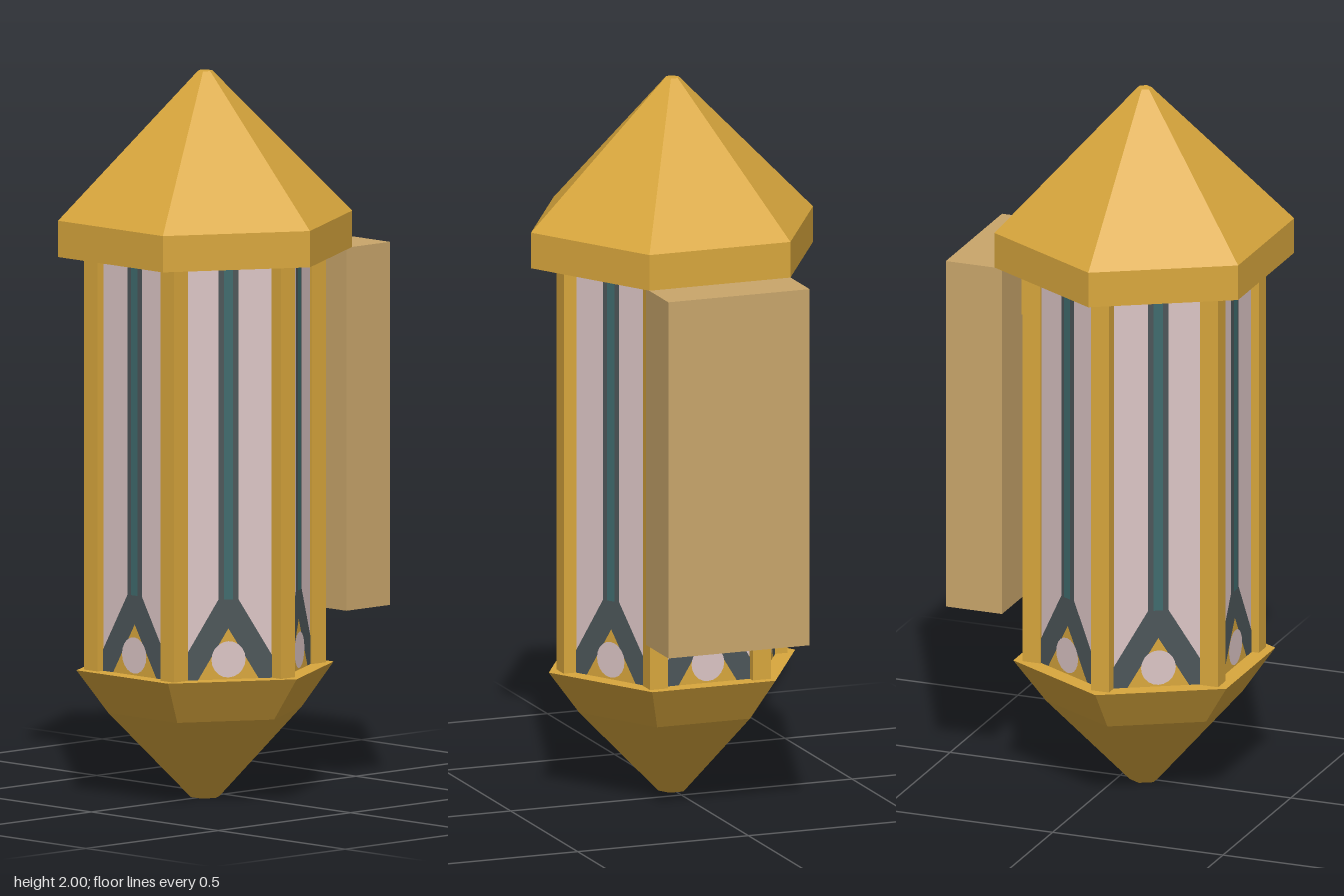
import * as THREE from 'three';

const makeMaterial = (name, color) => {
  const m = new THREE.MeshStandardMaterial({ color });
  m.name = name;
  return m;
};

// Faceted copy of a geometry, one normal per face
const facet = (geometry) => {
  const g = geometry.index ? geometry.toNonIndexed() : geometry;
  g.computeVertexNormals();
  return g;
};

const polygon = (points) => new THREE.Shape(points.map(([x, y]) => new THREE.Vector2(x, y)));

export function createModel() {
  const gold = makeMaterial('gold metal', 0xd9a73d);
  const glass = makeMaterial('pale pink glass', 0xdcc5c5);
  const slate = makeMaterial('slate leading', 0x4c5659);
  const teal = makeMaterial('teal leading', 0x3f6b6d);
  const tan = makeMaterial('tan backing', 0xc9a66b);

  const model = new THREE.Group();
  const lantern = new THREE.Group();
  lantern.name = 'lantern';
  lantern.position.z = 0.07;
  model.add(lantern);

  const add = (parent, name, geometry, material, x = 0, y = 0, z = 0) => {
    const mesh = new THREE.Mesh(geometry, material);
    mesh.name = name;
    mesh.position.set(x, y, z);
    parent.add(mesh);
    return mesh;
  };

  // Six-sided solid from a radius/height profile, corners on the x axis
  const hexSolid = (name, profile) => {
    const points = profile.map(([r, y]) => new THREE.Vector2(r, y));
    const g = new THREE.LatheGeometry(points, 6).rotateY(Math.PI / 6);
    return add(lantern, name, facet(g), gold);
  };
  hexSolid('roof', [[0, 1.5], [0.413, 1.5], [0.413, 1.6], [0.02, 2], [0, 2]]);
  hexSolid('base', [[0, 0], [0.04, 0], [0.272, 0.24], [0.361, 0.36], [0, 0.36]]);

  // Window parts shared by all six sides
  const paneGeometry = new THREE.BoxGeometry(0.29, 1.14, 0.016);
  const half = [[0.028, 1.5], [0.028, 0.58], [0.124, 0.42], [0.124, 0.36], [0.085, 0.36]];
  const mirrored = half.map(([x, y]) => [-x, y]);
  const leadingGeometry = new THREE.ShapeGeometry(
    polygon([...mirrored, [0, 0.5], ...half.slice().reverse()]));
  const stripeGeometry = new THREE.PlaneGeometry(0.026, 0.92);
  const archGeometry = new THREE.ShapeGeometry(polygon([[-0.085, 0.36], [0.085, 0.36], [0, 0.5]]));
  const ovalGeometry = new THREE.CircleGeometry(1, 20).scale(0.048, 0.05, 1);
  const postGeometry = new THREE.BoxGeometry(0.053, 1.14, 0.053);

  for (let i = 0; i < 6; i++) {
    const angle = (i * Math.PI) / 3;

    // Square corner posts, all facing the front
    add(lantern, 'cornerPost', postGeometry, gold,
      0.301 * Math.cos(angle), 0.93, 0.301 * Math.sin(angle));

    // Glass pane with its forked leading
    const side = new THREE.Group();
    side.name = 'window';
    side.rotation.y = angle;
    lantern.add(side);
    add(side, 'glassPane', paneGeometry, glass, 0, 0.93, 0.256);
    add(side, 'archPatch', archGeometry, gold, 0, 0, 0.266);
    add(side, 'leading', leadingGeometry, slate, 0, 0, 0.266);
    add(side, 'centreStripe', stripeGeometry, teal, 0, 1.04, 0.268);
    add(side, 'archGlass', ovalGeometry, glass, 0, 0.415, 0.268);
  }

  // Wall plate and the arm that holds the lantern
  add(model, 'wallPlate', new THREE.BoxGeometry(0.414, 1, 0.165), tan, 0, 1, -0.3475);
  add(model, 'bracketArm', new THREE.BoxGeometry(0.13, 0.14, 0.13), gold, 0, 1.39, -0.24);

  return model;
}
